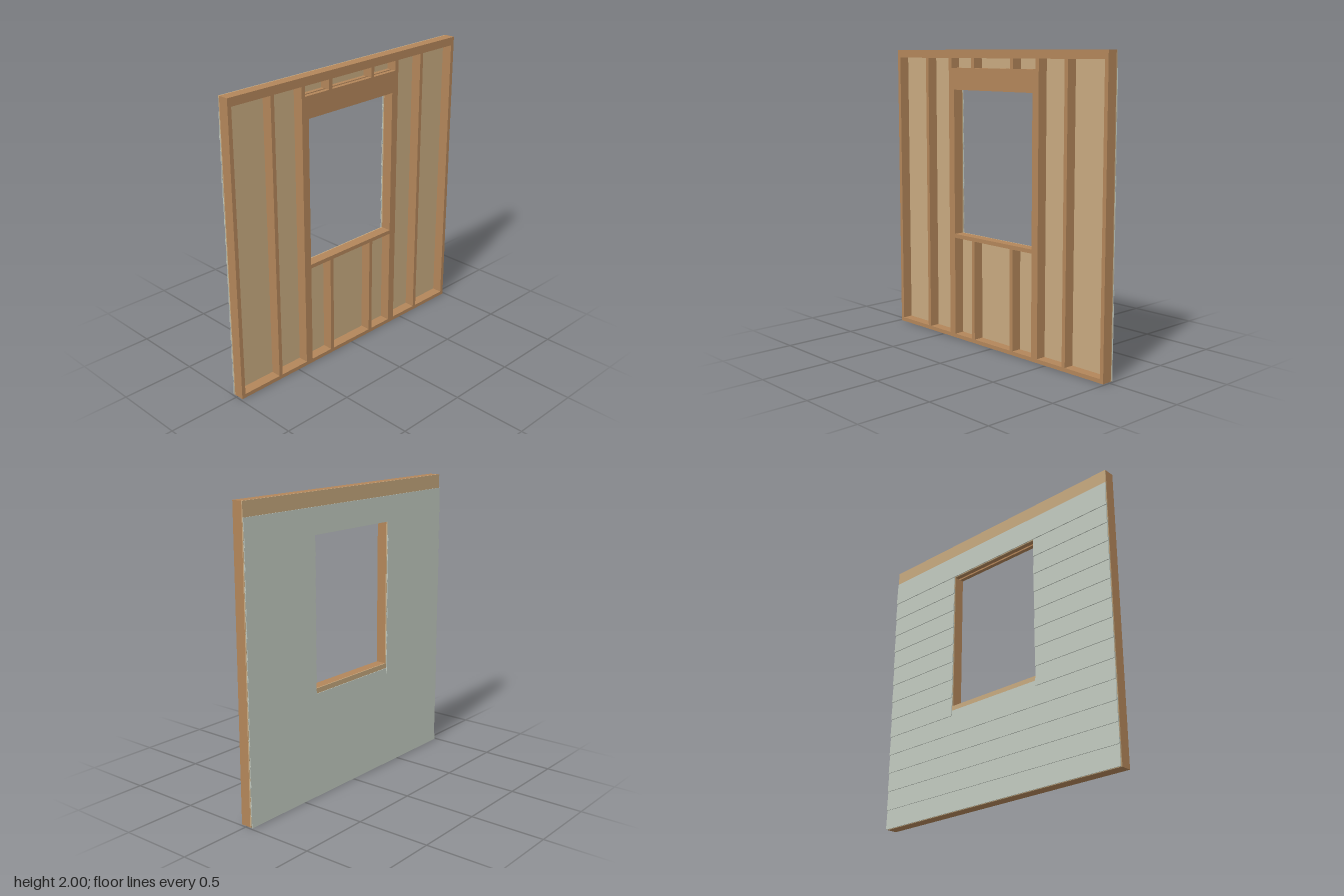
import * as THREE from 'three';

const lumber = new THREE.MeshStandardMaterial({ name: 'lumber', color: 0xb3865a });
const sheathingTan = new THREE.MeshStandardMaterial({ name: 'sheathingTan', color: 0xc8aa80 });
const sidingGrey = new THREE.MeshStandardMaterial({ name: 'sidingGrey', color: 0xc0c8be });

// Overall wall and opening dimensions
const HALF = 0.987, TOP = 2, T = 0.027;
const FRONT = 0.045, STUD_BACK = -0.026, SHEATH_BACK = -0.033, BACK = -0.045;
const OPEN_X = 0.373, SILL = 0.74, HEAD = 1.733;
const HEADER_TOP = 1.879, PLATE = 1.945;
const KING = OPEN_X + T;

export function createModel() {
  const wall = new THREE.Group();
  wall.name = 'framedWallPanel';

  // Box given by its limits on each axis
  const board = (name, x0, x1, y0, y1, z0 = STUD_BACK, z1 = FRONT) => {
    const mesh = new THREE.Mesh(new THREE.BoxGeometry(x1 - x0, y1 - y0, z1 - z0), lumber);
    mesh.position.set((x0 + x1) / 2, (y0 + y1) / 2, (z0 + z1) / 2);
    mesh.name = name;
    wall.add(mesh);
  };
  // Matching upright on both sides
  const uprights = (name, x, y0, y1) => {
    board(name + 'Left', x, x + T, y0, y1);
    board(name + 'Right', -x - T, -x, y0, y1);
  };

  // Plates
  board('bottomPlate', -HALF, HALF, 0, T);
  board('lowerTopPlate', -HALF, HALF, PLATE, PLATE + T);
  board('upperTopPlate', -HALF, HALF, PLATE + T, TOP);

  // Full height studs, jacks and cripples
  uprights('endStud', HALF - T, T, PLATE);
  uprights('commonStud', 0.644, T, PLATE);
  uprights('kingStud', KING, T, PLATE);
  uprights('jackStud', OPEN_X, T, HEAD);
  uprights('lowerCripple', 0.172, T, SILL - T);
  uprights('upperCripple', 0.172, HEADER_TOP, PLATE);

  // Window sill and two-ply header
  board('windowSill', -OPEN_X, OPEN_X, SILL - T, SILL);
  board('frontHeader', -KING, KING, HEAD, HEADER_TOP, FRONT - 0.029, FRONT);
  board('backHeader', -KING, KING, HEAD, HEADER_TOP, STUD_BACK, STUD_BACK + 0.029);

  // Sheathing sheet with the window cut out
  const sheet = new THREE.Shape();
  sheet.moveTo(-HALF, 0).lineTo(HALF, 0).lineTo(HALF, TOP).lineTo(-HALF, TOP).closePath();
  const hole = new THREE.Path();
  hole.moveTo(-OPEN_X, SILL).lineTo(-OPEN_X, HEAD).lineTo(OPEN_X, HEAD).lineTo(OPEN_X, SILL).closePath();
  sheet.holes.push(hole);
  const sheathing = new THREE.Mesh(
    new THREE.ExtrudeGeometry(sheet, { depth: STUD_BACK - SHEATH_BACK, bevelEnabled: false }), sheathingTan);
  sheathing.position.z = SHEATH_BACK;
  sheathing.name = 'sheathing';
  wall.add(sheathing);

  // Overlapping lap siding: a tilted board section swept along x
  const COURSE = HEAD / 13, TALL = 0.172;
  const section = new THREE.Shape();
  section.moveTo(0.0395, 0).lineTo(-BACK, 0).lineTo(0.037, TALL).lineTo(-SHEATH_BACK, TALL).closePath();
  const siding = new THREE.Group();
  siding.name = 'lapSiding';
  wall.add(siding);
  const lap = (x0, x1, y) => {
    const geo = new THREE.ExtrudeGeometry(section, { depth: x1 - x0, bevelEnabled: false });
    geo.rotateY(Math.PI / 2); // section x becomes -z, sweep becomes +x
    const mesh = new THREE.Mesh(geo, sidingGrey);
    mesh.position.set(x0, y, 0);
    mesh.name = 'sidingBoard';
    siding.add(mesh);
  };
  for (let i = 0; i < 14; i++) {
    const y = i * COURSE;
    if (i >= 5 && i < 13) {
      lap(-HALF, -OPEN_X, y);
      lap(OPEN_X, HALF, y);
    } else lap(-HALF, HALF, y);
  }
  return wall;
}
